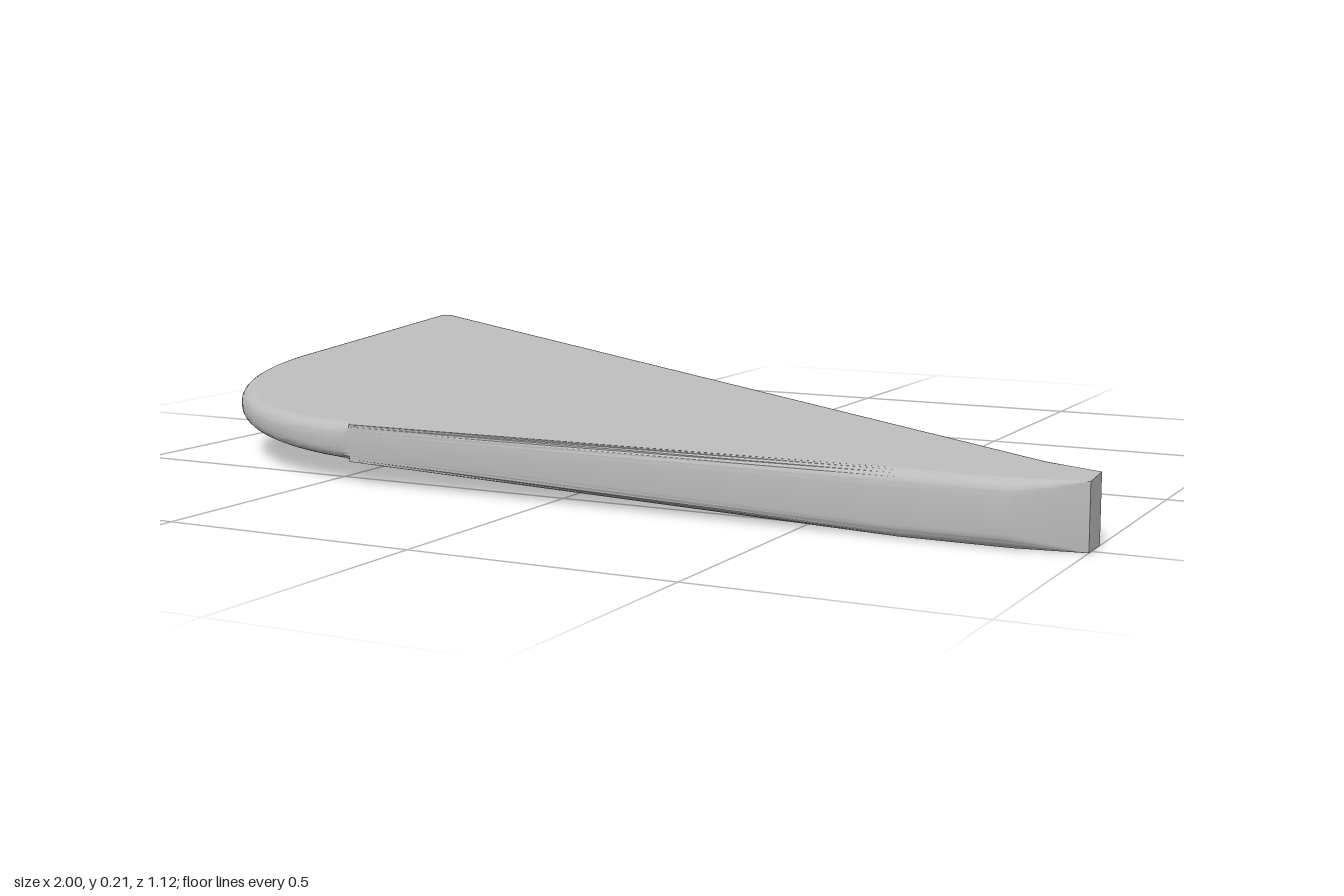
import * as THREE from 'three';
import { toCreasedNormals, mergeGeometries } from 'three/addons/utils/BufferGeometryUtils.js';

// Sloping upper and lower surfaces of the wedge-shaped blade
const topY = (x, z) => 0.12 + 0.085 * (0.5 - z);
const bottomY = (x, z) => Math.max(0, topY(x, z) - 0.09 - 0.039 * x);

// Plan outline, in x and z
function outline() {
  const s = new THREE.Shape();
  s.moveTo(1, 0.45);
  s.lineTo(1, 0.515);
  s.lineTo(0.88, 0.557);
  s.lineTo(0.68, 0.557);
  s.lineTo(-0.445, 0.557);
  s.absarc(-0.445, 0.002, 0.555, Math.PI / 2, Math.PI, false);
  s.lineTo(-0.986, -0.53);
  s.quadraticCurveTo(-0.984, -0.562, -0.96, -0.562);
  s.quadraticCurveTo(-0.94, -0.562, -0.92, -0.55);
  s.lineTo(0.9, 0.398);
  return s.getPoints(20);
}

function bladeGeometry() {
  const pts = outline();
  const n = pts.length;
  const steps = 5;

  // Inward direction and edge radius at each outline point; the tip stays sharp
  const edge = pts.map((p, i) => {
    const a = pts[(i + n - 1) % n], b = pts[(i + 1) % n];
    const t0 = p.clone().sub(a).normalize();
    const t1 = b.clone().sub(p).normalize();
    const t = t0.add(t1).normalize();
    const thick = topY(p.x, p.y) - bottomY(p.x, p.y);
    const r = Math.min(0.025, thick * 0.48) * THREE.MathUtils.clamp((1 - p.x) / 0.12, 0, 1);
    return { p, inward: new THREE.Vector2(-t.y, t.x), r };
  });

  // Rings from the bottom face, round the edge, up to the top face
  const rings = [];
  for (const upper of [false, true]) {
    for (let k = 0; k <= steps; k++) {
      const angle = (upper ? k : steps - k) / steps * Math.PI / 2;
      rings.push(edge.map(({ p, inward, r }) => {
        const q = p.clone().addScaledVector(inward, r * (1 - Math.cos(angle)));
        const rise = r * (1 - Math.sin(angle));
        const y = upper ? topY(q.x, q.y) - rise : bottomY(q.x, q.y) + rise;
        return new THREE.Vector3(q.x, y, q.y);
      }));
    }
  }

  const build = tris => new THREE.BufferGeometry().setFromPoints(tris);

  // Rounded rim
  const side = [];
  for (let k = 0; k < rings.length - 1; k++) {
    for (let i = 0; i < n; i++) {
      const j = (i + 1) % n;
      const a = rings[k][i], b = rings[k][j], c = rings[k + 1][i], d = rings[k + 1][j];
      // Skip the collapsed strips at the sharp tip
      if (a.distanceTo(c) > 1e-6) side.push(a, c, b);
      if (b.distanceTo(d) > 1e-6) side.push(b, c, d);
    }
  }
  const rim = toCreasedNormals(build(side), 0.34);

  // Flat lower and upper faces
  const cap = (ring, flip) => {
    const faces = THREE.ShapeUtils.triangulateShape(ring.map(v => new THREE.Vector2(v.x, v.z)), []);
    const g = build(faces.flatMap(([a, b, c]) => (flip ? [a, c, b] : [a, b, c]).map(i => ring[i])));
    g.computeVertexNormals();
    return g;
  };
  return mergeGeometries([rim, cap(rings[0], false), cap(rings[rings.length - 1], true)]);
}

export function createModel() {
  const model = new THREE.Group();
  model.name = 'wedgeBlade';
  const grey = new THREE.MeshStandardMaterial({ color: 0xbcbcbc });
  grey.name = 'light grey';
  const blade = new THREE.Mesh(bladeGeometry(), grey);
  blade.name = 'blade';
  model.add(blade);
  return model;
}
